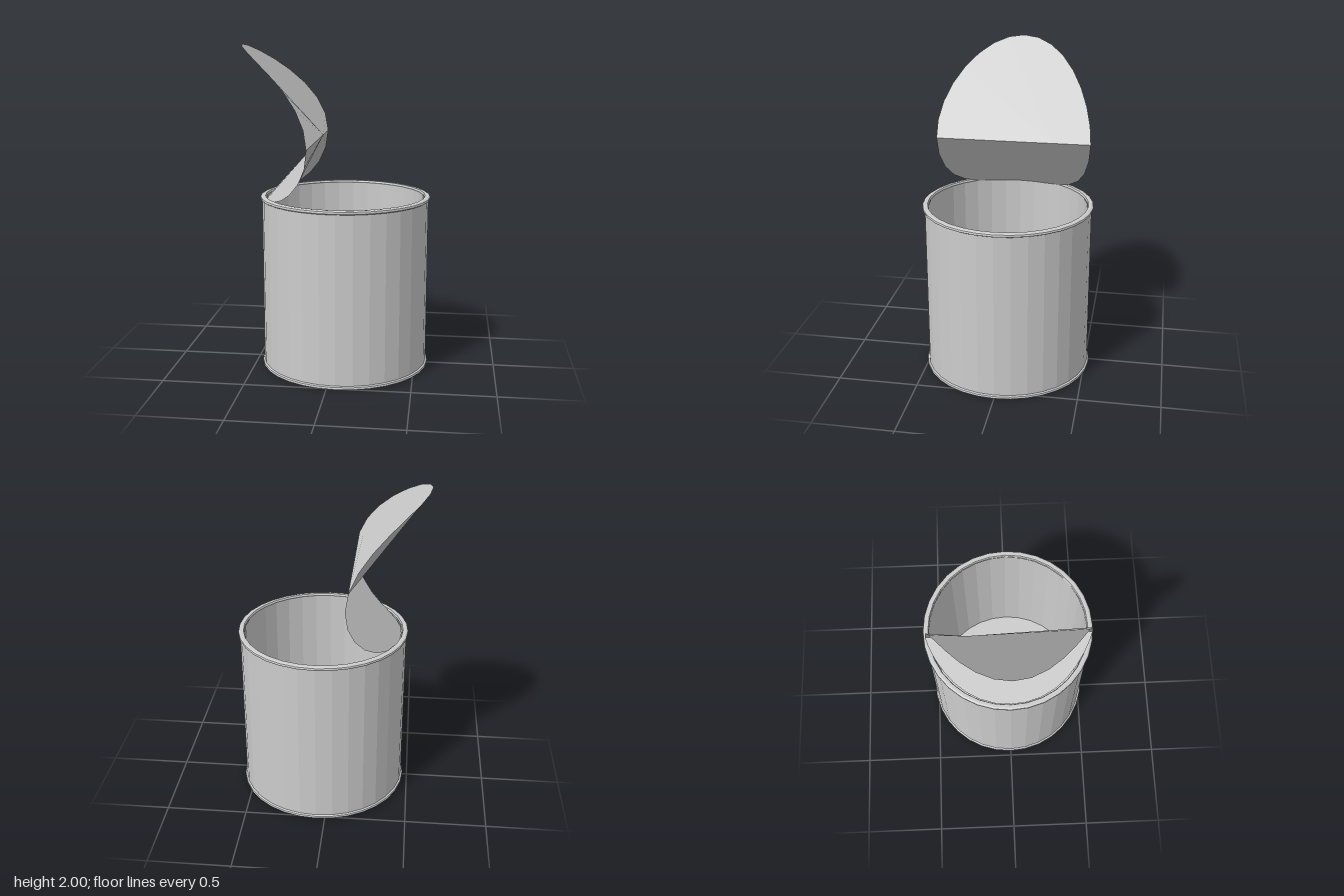
import * as THREE from 'three';

const SIDES = 32;
const CAN_X = 0.055;
const LID_R = 0.485;
const CREASE = [-0.115, 1.42];

// Flat facets for a lathed profile
function facetedLathe(profile) {
  const points = profile.map(([r, y]) => new THREE.Vector2(r, y));
  const geometry = new THREE.LatheGeometry(points, SIDES).toNonIndexed();
  geometry.computeVertexNormals();
  return geometry;
}

// Edge of the bent lid: s is the distance from the crease, 0 to 1
const upperEdge = s => [CREASE[0] - 0.465 * s * s, CREASE[1] + 0.58 * s];
const lowerEdge = s => {
  const a = s * Math.PI / 2;
  return [CREASE[0] - 0.315 * (1 - Math.cos(a)), CREASE[1] - 0.36 * Math.sin(a)];
};

// One half of the lid: a fan from a point on the crease to the curved edge
function lidHalf(edge, flip) {
  const apex = [CREASE[0], CREASE[1], -0.245];
  const rim = [];
  for (let k = 0; k <= SIDES / 2; k++) {
    const a = k * 2 * Math.PI / SIDES;
    rim.push([...edge(Math.sin(a)), LID_R * Math.cos(a)]);
  }
  const positions = [];
  for (let k = 0; k < SIDES / 2; k++) {
    const [p, q] = flip ? [rim[k + 1], rim[k]] : [rim[k], rim[k + 1]];
    positions.push(...apex, ...p, ...q);
  }
  // The sheet is shaded as one face, square to its centre line
  const tip = edge(1);
  const dx = tip[0] - CREASE[0], dy = tip[1] - CREASE[1];
  const normal = new THREE.Vector3(Math.abs(dy), -dx * Math.sign(dy), 0).normalize();
  const normals = [];
  for (let i = 0; i < positions.length / 3; i++) normals.push(normal.x, normal.y, normal.z);
  const geometry = new THREE.BufferGeometry();
  geometry.setAttribute('position', new THREE.Float32BufferAttribute(positions, 3));
  geometry.setAttribute('normal', new THREE.Float32BufferAttribute(normals, 3));
  return geometry;
}

export function createModel() {
  const model = new THREE.Group();
  model.name = 'openedTinCan';
  const tin = new THREE.MeshStandardMaterial({ color: 0xcccccc, side: THREE.DoubleSide });
  tin.name = 'tin grey';

  const add = (parent, name, geometry) => {
    const mesh = new THREE.Mesh(geometry, tin);
    mesh.name = name;
    parent.add(mesh);
    return mesh;
  };

  // Can
  const can = new THREE.Group();
  can.name = 'can';
  can.position.x = CAN_X;
  model.add(can);
  add(can, 'outerWall', facetedLathe([[0.515, 0.02], [0.515, 1.065]]));
  add(can, 'innerWall', facetedLathe([[0.49, 1.065], [0.49, 0.02]]));
  add(can, 'floor', facetedLathe([[0.49, 0.022], [0, 0.022]]));
  add(can, 'base', facetedLathe([[0, 0.015], [0.495, 0.015]]));

  // Rolled rims at both ends
  const rim = [[0.495, 0], [0.515, 0], [0.525, 0.005], [0.527, 0.012], [0.525, 0.019],
    [0.515, 0.024], [0.495, 0.024], [0.49, 0.012], [0.495, 0]];
  for (const [name, y] of [['bottomRim', 0], ['topRim', 1.058]]) {
    add(can, name, facetedLathe(rim)).position.y = y;
  }

  // Folded-back lid
  const lid = new THREE.Group();
  lid.name = 'lid';
  model.add(lid);
  add(lid, 'upperLid', lidHalf(upperEdge, true));
  add(lid, 'lowerLid', lidHalf(lowerEdge, false));

  return model;
}
